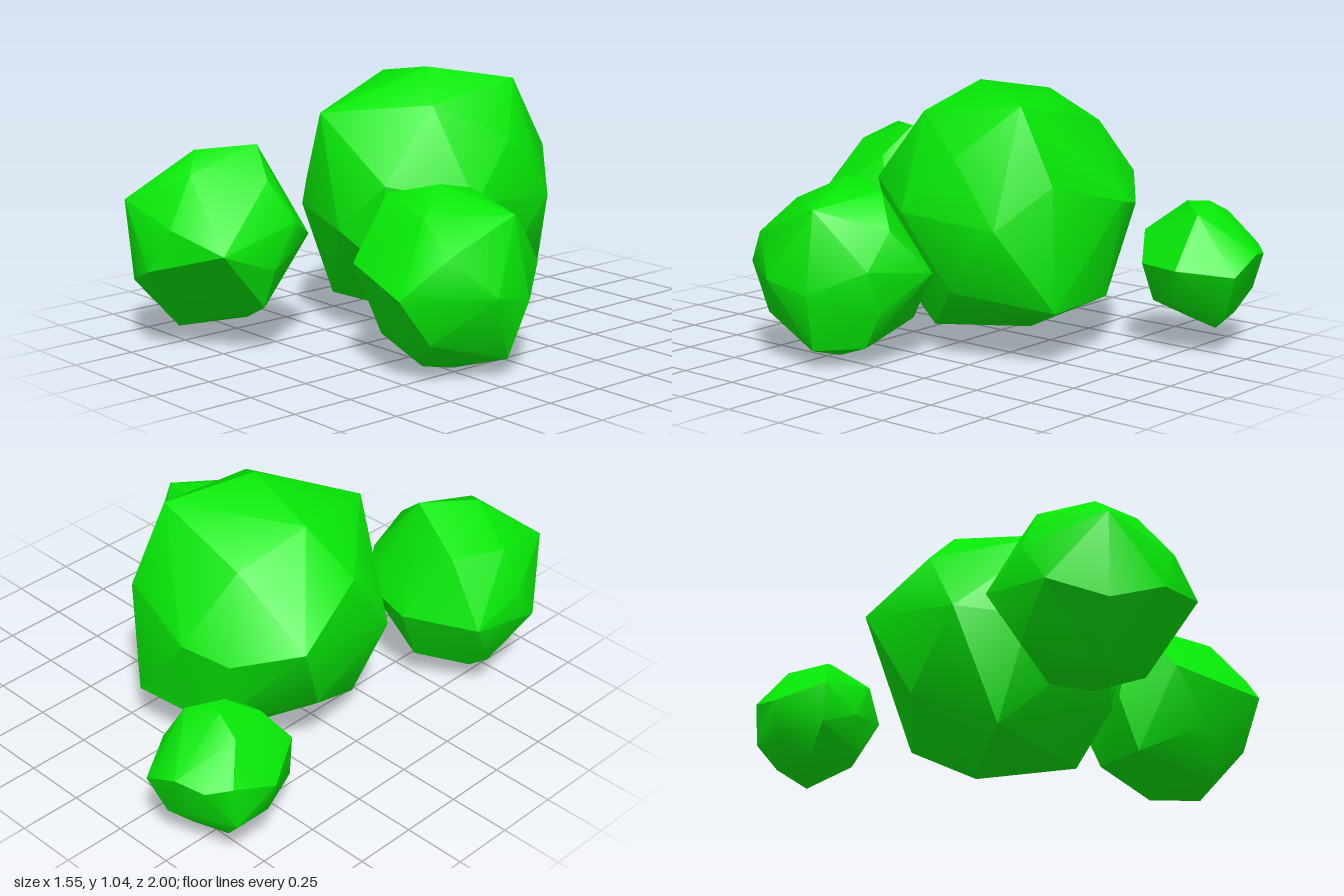
import * as THREE from 'three';
import { ConvexGeometry } from 'three/addons/geometries/ConvexGeometry.js';
import { toCreasedNormals } from 'three/addons/utils/BufferGeometryUtils.js';

const green = new THREE.MeshStandardMaterial({ color: 0x06e806 });

// A faceted clump: the convex skin around a few corner points, listed from top to base.
// Gentle folds are smoothed, strong ones stay sharp.
function clump(name, corners) {
  const points = corners.map((c) => new THREE.Vector3(...c));
  const mesh = new THREE.Mesh(toCreasedNormals(new ConvexGeometry(points), 0.6), green);
  mesh.name = name;
  return mesh;
}

export function createModel() {
  const group = new THREE.Group();
  group.name = 'bushCluster';

  // Large clump in the middle
  group.add(clump('largeClump', [
    [-0.02, 1.045, -0.08], [0.13, 0.985, -0.4], [-0.36, 0.985, -0.15], [0.16, 0.93, 0.05],
    [-0.30, 0.89, -0.44], [-0.22, 0.88, 0.29], [-0.54, 0.81, -0.08], [0.30, 0.79, -0.22],
    [-0.60, 0.65, -0.39], [0.14, 0.70, -0.56], [0.16, 0.65, 0.29], [-0.20, 0.61, -0.63],
    [-0.38, 0.57, -0.56], [0.35, 0.57, 0.0], [0.31, 0.54, -0.42], [-0.03, 0.46, 0.36],
    [-0.35, 0.50, 0.28], [-0.56, 0.54, 0.09], [0.30, 0.28, -0.2], [-0.50, 0.30, -0.22],
    [0.12, 0.22, -0.56], [-0.25, 0.22, -0.52], [0.13, 0.28, 0.22], [-0.36, 0.11, 0.12],
    [0.12, 0.09, 0.03], [-0.20, 0.055, -0.19],
  ]));

  // Medium clump on the left side
  group.add(clump('sideClump', [
    [0.40, 0.69, 0.23], [0.39, 0.65, 0.06], [0.18, 0.63, 0.3], [0.69, 0.61, 0.13],
    [0.50, 0.60, 0.4], [0.50, 0.53, -0.08], [0.67, 0.49, 0.43], [0.21, 0.40, 0.49],
    [0.61, 0.39, -0.07], [0.33, 0.35, -0.14], [0.57, 0.34, 0.58], [0.775, 0.34, 0.29],
    [0.75, 0.30, 0.11], [0.11, 0.31, 0.28], [0.55, 0.23, -0.08], [0.37, 0.20, 0.49],
    [0.60, 0.16, 0.46], [0.28, 0.15, 0.0], [0.17, 0.09, 0.32], [0.55, 0.08, 0.0],
    [0.68, 0.07, 0.15], [0.48, 0.045, 0.39], [0.46, 0.0, 0.22],
  ]));

  // Medium clump at the front
  group.add(clump('frontClump', [
    [-0.31, 0.775, 0.53], [-0.44, 0.76, 0.73], [-0.33, 0.69, 0.83], [-0.18, 0.66, 0.58],
    [-0.65, 0.66, 0.65], [-0.56, 0.66, 0.45], [-0.59, 0.575, 0.95], [-0.28, 0.51, 0.96],
    [-0.73, 0.50, 0.66], [-0.11, 0.50, 0.5], [-0.07, 0.43, 0.87], [-0.20, 0.42, 0.37],
    [-0.43, 0.40, 0.32], [-0.71, 0.40, 0.45], [-0.065, 0.34, 0.64], [-0.37, 0.34, 1.0],
    [-0.72, 0.34, 0.77], [-0.57, 0.26, 0.93], [-0.12, 0.19, 0.65], [-0.66, 0.18, 0.58],
    [-0.40, 0.15, 0.44], [-0.32, 0.10, 0.58], [-0.57, 0.11, 0.58], [-0.48, 0.07, 0.79],
  ]));

  // Small clump at the back
  group.add(clump('smallClump', [
    [-0.51, 0.58, -0.71], [-0.56, 0.58, -0.78], [-0.42, 0.55, -0.82], [-0.66, 0.53, -0.8],
    [-0.60, 0.53, -0.62], [-0.43, 0.46, -0.57], [-0.74, 0.40, -0.89], [-0.67, 0.40, -0.53],
    [-0.56, 0.40, -1.0], [-0.67, 0.38, -0.96], [-0.29, 0.35, -0.81], [-0.33, 0.35, -0.63],
    [-0.78, 0.35, -0.72], [-0.41, 0.33, -1.0], [-0.53, 0.30, -0.52], [-0.67, 0.24, -0.54],
    [-0.74, 0.22, -0.87], [-0.74, 0.22, -0.72], [-0.36, 0.20, -0.76], [-0.45, 0.17, -0.94],
    [-0.45, 0.18, -0.6], [-0.66, 0.13, -0.84], [-0.64, 0.13, -0.66], [-0.57, 0.10, -0.71],
    [-0.50, 0.10, -0.86],
  ]));

  return group;
}
